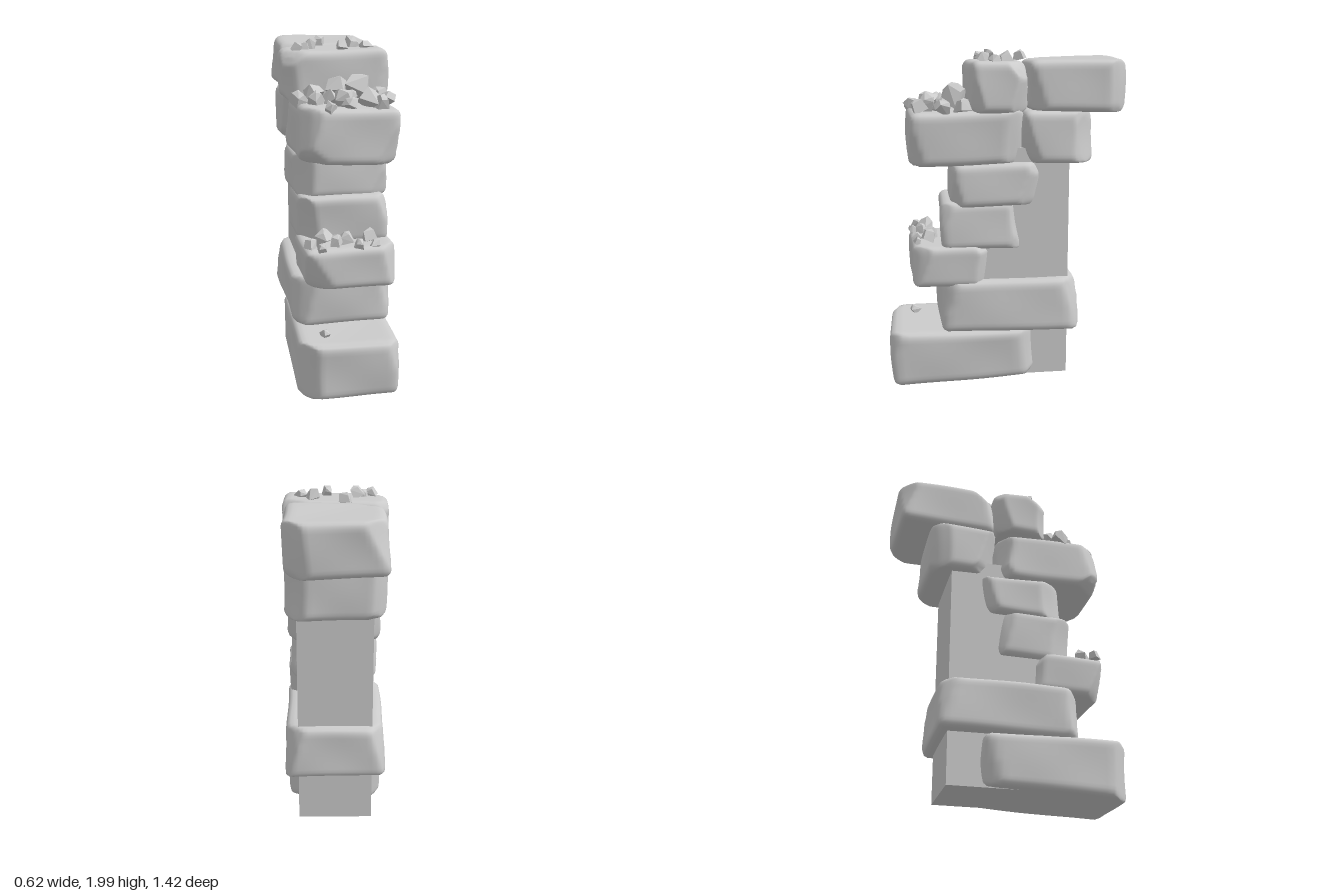
import * as THREE from 'three';
import { mergeVertices } from 'three/addons/utils/BufferGeometryUtils.js';
import { ConvexGeometry } from 'three/addons/geometries/ConvexGeometry.js';

const material = new THREE.MeshStandardMaterial({ color: 0xcccccc });
const facetedMaterial = new THREE.MeshStandardMaterial({ color: 0xcccccc, flatShading: true });

// Small seeded generator returning values in -1..1
function seeded(seed) {
  let s = seed * 7919 + 17;
  return () => {
    s = (s * 16807) % 2147483647;
    return (s / 2147483647) * 2 - 1;
  };
}

// Worn block filling the given ranges: rounded box, skewed corners, chipped edges
function stoneGeometry([x0, x1], [y0, y1], [z0, z1], seed, rearLift = 0) {
  const rand = seeded(seed);
  for (let i = 0; i < 5; i++) rand();
  const size = new THREE.Vector3(x1 - x0, y1 - y0, z1 - z0);
  const half = size.clone().multiplyScalar(0.5);
  const radius = 0.045;
  const inner = half.clone().subScalar(radius);
  const outer = inner.clone().negate();

  let geo = new THREE.BoxGeometry(size.x, size.y, size.z, 22, 16, 22);
  geo.deleteAttribute('uv');
  geo.deleteAttribute('normal');
  geo = mergeVertices(geo);

  const corners = Array.from({ length: 8 }, () =>
    new THREE.Vector3(rand() * 0.018, rand() * 0.01, rand() * 0.018));
  // Slanted planes that wear away some vertical edges and corners
  const cuts = Array.from({ length: 7 }, (_, i) => {
    const n = new THREE.Vector3(i & 1 ? 1 : -1, i < 4 ? rand() * 0.4 : rand() * 1.2, i & 2 ? 1 : -1);
    n.x *= 1 + rand() * 0.4;
    n.normalize();
    const reach = Math.abs(n.x) * half.x + Math.abs(n.y) * half.y + Math.abs(n.z) * half.z;
    return { n, d: reach - 0.075 - 0.02 * rand() };
  });

  const pos = geo.attributes.position;
  const p = new THREE.Vector3(), q = new THREE.Vector3();
  for (let i = 0; i < pos.count; i++) {
    p.fromBufferAttribute(pos, i);
    q.copy(p).clamp(outer, inner);
    p.sub(q).setLength(radius).add(q);
    const u = p.x / size.x + 0.5, v = p.y / size.y + 0.5, w = p.z / size.z + 0.5;
    for (const { n, d } of cuts) {
      const over = p.dot(n) - d;
      if (over > 0) p.addScaledVector(n, -over * 0.85);
    }
    corners.forEach((c, k) => p.addScaledVector(c,
      (k & 1 ? u : 1 - u) * (k & 2 ? v : 1 - v) * (k & 4 ? w : 1 - w)));
    p.x += 0.005 * Math.sin(9 * p.z + seed) * Math.cos(11 * p.y + seed);
    p.z += 0.006 * Math.sin(10 * p.x + seed * 2) * Math.cos(12 * p.y);
    p.y += 0.003 * Math.sin(8 * p.x + 7 * p.z + seed) + rearLift * (1 - w) * (1 - v);
    pos.setXYZ(i, p.x, p.y, p.z);
  }

  // Fit exactly to the requested ranges
  geo.computeBoundingBox();
  const box = geo.boundingBox, got = box.getSize(new THREE.Vector3());
  geo.translate(-box.min.x, -box.min.y, -box.min.z);
  geo.scale(size.x / got.x, size.y / got.y, size.z / got.z);
  geo.translate(x0, y0, z0);
  geo.computeVertexNormals();
  return geo;
}

// Angular broken chunk: hull of a skewed, tapering box with one extra point
function chunkGeometry(size, seed) {
  const rand = seeded(seed);
  for (let i = 0; i < 5; i++) rand();
  const points = [];
  for (let k = 0; k < 8; k++) {
    const taper = k & 2 ? 0.7 : 1;
    points.push(new THREE.Vector3(
      (k & 1 ? 1 : -1) * taper * (0.42 + 0.12 * rand()),
      (k & 2 ? 1 : -1) * (0.4 + 0.12 * rand()),
      (k & 4 ? 1 : -1) * taper * (0.42 + 0.12 * rand())));
  }
  points.push(new THREE.Vector3(0.2 * rand(), 0.62, 0.2 * rand()));
  const geo = new ConvexGeometry(points);
  geo.scale(size, size * 0.8, size * (1 + 0.2 * rand()));
  return geo;
}

export function createModel() {
  const model = new THREE.Group();
  model.name = 'stonePillar';

  // Plain square core behind the stones
  const core = new THREE.Mesh(new THREE.BoxGeometry(0.44, 1.4, 0.56), material);
  core.name = 'core';
  core.position.set(0, 0.74, -0.085);
  model.add(core);

  // Stacked stones: name, x range, y range, z range, lift of the rear underside
  const stones = [
    ['baseStone', [-0.3, 0.295], [0.01, 0.355], [-0.18, 0.71], 0.04],
    ['secondStone', [-0.3, 0.3], [0.335, 0.66], [-0.43, 0.41], 0],
    ['lowerLedgeStone', [-0.255, 0.29], [0.62, 0.875], [0.1, 0.575], 0],
    ['fourthStone', [-0.26, 0.27], [0.83, 1.13], [-0.105, 0.4], 0],
    ['fifthStone', [-0.275, 0.285], [1.1, 1.36], [-0.19, 0.335], 0],
    ['upperLedgeStone', [-0.275, 0.29], [1.345, 1.665], [-0.1, 0.58], 0],
    ['upperRearStone', [-0.29, 0.295], [1.35, 1.665], [-0.515, -0.08], 0],
    ['topFrontStone', [-0.315, 0.31], [1.645, 1.94], [-0.12, 0.225], 0],
    ['topRearStone', [-0.285, 0.285], [1.64, 1.95], [-0.71, -0.11], 0],
  ];
  stones.forEach(([name, xs, ys, zs, lift], i) => {
    const stone = new THREE.Mesh(stoneGeometry(xs, ys, zs, i + 3, lift), material);
    stone.name = name;
    model.add(stone);
  });

  // Rubble heaps: each chunk is [x, y, z, size]
  const heaps = {
    topRubble: [
      [-0.06, 1.955, -0.11, 0.075], [-0.22, 1.945, 0.12, 0.07], [-0.17, 1.945, 0.09, 0.06],
      [-0.13, 1.96, 0.07, 0.08], [0.04, 1.95, 0.12, 0.08], [0.12, 1.955, 0, 0.08],
      [0.19, 1.945, 0.07, 0.065],
    ],
    upperLedgeRubble: [
      [-0.24, 1.68, 0.32, 0.1], [-0.15, 1.71, 0.27, 0.11], [-0.15, 1.69, 0.39, 0.09],
      [-0.07, 1.69, 0.36, 0.09], [-0.1, 1.665, 0.55, 0.08], [-0.01, 1.74, 0.27, 0.11],
      [0, 1.7, 0.45, 0.12], [0.1, 1.75, 0.3, 0.14], [0.05, 1.69, 0.34, 0.1],
      [0.13, 1.7, 0.46, 0.12], [0.19, 1.685, 0.51, 0.09], [0.25, 1.69, 0.37, 0.085],
      [0.23, 1.69, 0.26, 0.09], [0.01, 1.69, 0.54, 0.08], [0.16, 1.69, 0.38, 0.09],
    ],
    lowerLedgeRubble: [
      [-0.21, 0.9, 0.52, 0.07], [-0.13, 0.92, 0.47, 0.1], [-0.06, 0.91, 0.5, 0.075],
      [0.01, 0.9, 0.45, 0.08], [0.07, 0.89, 0.53, 0.06], [0.14, 0.915, 0.46, 0.09],
      [-0.15, 0.885, 0.55, 0.06], [0.16, 0.89, 0.53, 0.055],
    ],
    basePebble: [[-0.13, 0.365, 0.545, 0.065]],
  };
  let seed = 20;
  for (const [name, chunks] of Object.entries(heaps)) {
    const heap = new THREE.Group();
    heap.name = name;
    for (const [x, y, z, size] of chunks) {
      const chunk = new THREE.Mesh(chunkGeometry(size, ++seed), facetedMaterial);
      chunk.name = 'chunk';
      chunk.position.set(x, y, z);
      chunk.rotation.set(0.5 * Math.sin(seed * 3), seed * 1.7, 0.5 * Math.cos(seed * 5));
      heap.add(chunk);
    }
    model.add(heap);
  }
  return model;
}
